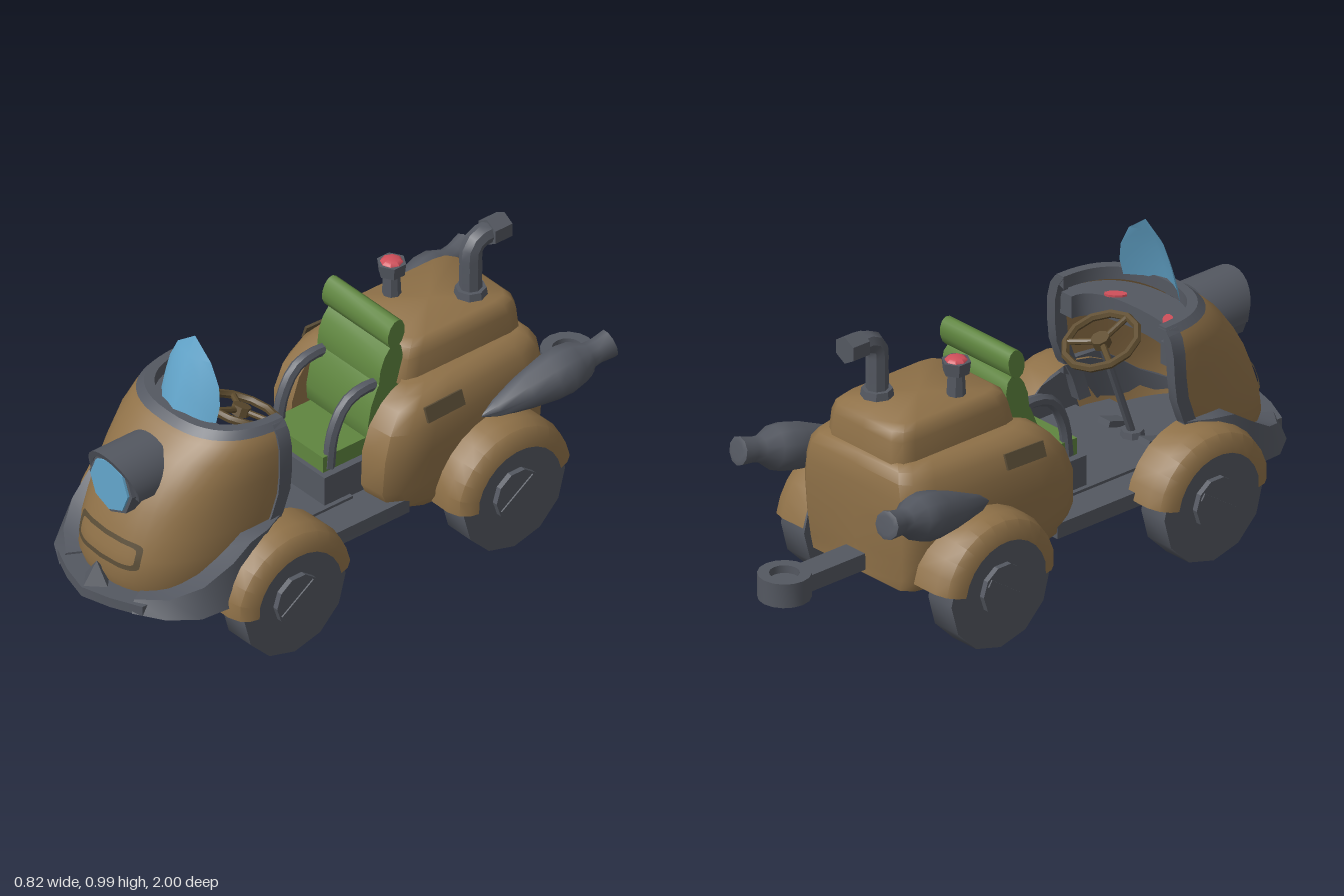
import * as THREE from 'three';
import { toCreasedNormals } from 'three/addons/utils/BufferGeometryUtils.js';

const paint = (name, color) => new THREE.MeshStandardMaterial({ name, color, side: THREE.DoubleSide });
const V = (x, y, z) => new THREE.Vector3(x, y, z);

export function createModel() {
  const brown = paint('brown paint', 0x8f7148), dark = paint('dark metal', 0x545861);
  const green = paint('green leather', 0x5f853f), blue = paint('blue glass', 0x63a6cc);
  const red = paint('red lamp', 0xcf4f5a), umber = paint('dark brown', 0x594c36);
  const wood = paint('steering brown', 0x5f4d2f);
  const root = new THREE.Group();

  const add = (name, geo, mat, x = 0, y = 0, z = 0, rx = 0, ry = 0, rz = 0, crease = 0.6) => {
    const m = new THREE.Mesh(toCreasedNormals(geo, crease), mat);
    m.name = name;
    m.position.set(x, y, z);
    m.rotation.set(rx, ry, rz);
    root.add(m);
    return m;
  };
  const box = (name, mat, w, h, d, x, y, z, rx = 0, ry = 0, rz = 0) =>
    add(name, new THREE.BoxGeometry(w, h, d), mat, x, y, z, rx, ry, rz);
  const cyl = (name, mat, r0, r1, h, n, x, y, z, rx = 0, rz = 0) =>
    add(name, new THREE.CylinderGeometry(r0, r1, h, n), mat, x, y, z, rx, 0, rz);
  const rod = (name, mat, a, b, r) => {
    const m = cyl(name, mat, r, r, a.distanceTo(b), 8, 0, 0, 0);
    m.position.copy(a).lerp(b, 0.5);
    m.quaternion.setFromUnitVectors(V(0, 1, 0), b.clone().sub(a).normalize());
  };
  // Skin through a row of cross-sections
  const loft = (loops, closed = true, caps = false) => {
    const n = loops[0].length, pts = loops.flat(), idx = [];
    for (let i = 0; i < loops.length - 1; i++)
      for (let j = 0; j < (closed ? n : n - 1); j++) {
        const a = i * n + j, b = i * n + (j + 1) % n;
        idx.push(a, b, a + n, b, b + n, a + n);
      }
    if (caps) {
      for (const [s, flip] of caps === 'top' ? [[loops.length - 1, 0]] : [[0, 1], [loops.length - 1, 0]]) {
        const mid = loops[s].reduce((t, p) => t.add(p), V(0, 0, 0)).divideScalar(n);
        const c = pts.push(mid) - 1;
        for (let j = 0; j < n; j++) {
          const a = s * n + j, b = s * n + (j + 1) % n;
          idx.push(...(flip ? [b, a, c] : [a, b, c]));
        }
      }
    }
    const g = new THREE.BufferGeometry().setFromPoints(pts);
    g.setIndex(idx);
    return g;
  };
  // Plan outline (x, z) thickened downward from y = top
  const plan = (name, mat, pts, top, depth) => add(name,
    new THREE.ExtrudeGeometry(new THREE.Shape(pts.map(p => new THREE.Vector2(p[0], p[1]))), { depth, bevelEnabled: false }),
    mat, 0, top, 0, Math.PI / 2);

  // Front cowl: U-shaped levels [y, half width, rear z, front z]
  const levels = [[0.23, 0.25, 0.52, 0.9], [0.3, 0.27, 0.51, 0.925], [0.38, 0.28, 0.49, 0.91], [0.45, 0.283, 0.455, 0.885],
    [0.52, 0.284, 0.43, 0.855], [0.59, 0.283, 0.422, 0.812], [0.67, 0.28, 0.42, 0.75], [0.72, 0.267, 0.42, 0.695], [0.75, 0.245, 0.42, 0.65]];
  const uCurve = (hw, zr, zf, n = 24) => Array.from({ length: n + 1 }, (_, i) => {
    const t = Math.PI * i / n, c = Math.cos(t);
    return [hw * Math.sign(c) * Math.abs(c) ** 0.8, zr + (zf - zr) * Math.abs(Math.sin(t)) ** 0.8];
  });
  add('frontCowl', loft(levels.map(([y, hw, zr, zf]) => uCurve(hw, zr, zf).map(([x, z]) => V(x, y, z))), false),
    brown, 0, 0, 0, 0, 0, 0, 0.9);
  const rimRing = [[0.264, 0.68, 0.735], [0.245, 0.655, 0.757], [0.215, 0.625, 0.757], [0.215, 0.625, 0.715]]
    .map(([hw, zf, y]) => uCurve(hw, 0.41, zf).map(([x, z]) => V(x, y, z)));
  add('cowlRim', loft(rimRing[0].map((_, i) => rimRing.map(r => r[i])), true, true), dark);
  plan('dashboard', dark, [...uCurve(0.255, 0.43, 0.655), ...uCurve(0.2, 0.43, 0.525).reverse()], 0.69, 0.075);
  plan('noseFloor', dark, uCurve(0.24, 0.5, 0.89), 0.245, 0.015);

  // Grille frame laid on the nose surface
  const noseZ = (x, y) => {
    const i = levels.findIndex(l => l[0] > y), a = levels[i - 1], b = levels[i];
    const [, hw, zr, zf] = a.map((v, k) => v + (b[k] - v) * (y - a[0]) / (b[0] - a[0]));
    const c = (Math.abs(x) / hw) ** 1.25;
    return zr + (zf - zr) * Math.sqrt(1 - c * c) ** 0.8;
  };
  const grilleLoop = (w, h) => Array.from({ length: 48 }, (_, i) => {
    const t = i * Math.PI / 24, c = Math.cos(t), s = Math.sin(t);
    const x = w * Math.sign(c) * Math.abs(c) ** 0.3, y = 0.386 + h * Math.sign(s) * Math.abs(s) ** 0.3;
    return V(x, y, noseZ(x, y) + 0.007);
  });
  add('grilleFrame', loft([grilleLoop(0.142, 0.046), grilleLoop(0.124, 0.031)]), umber);

  // Headlight under its hood
  cyl('headlightCase', dark, 0.1, 0.1, 0.14, 8, 0, 0.59, 0.812, Math.PI / 2);
  cyl('headlightLens', blue, 0.088, 0.088, 0.008, 8, 0, 0.59, 0.886, Math.PI / 2);
  const hood = new THREE.Shape();
  hood.absarc(0, 0, 0.114, -0.15, Math.PI + 0.15, false);
  hood.absarc(0, 0, 0.094, Math.PI + 0.15, -0.15, true);
  const hoodGeo = new THREE.ExtrudeGeometry(hood, { depth: 0.18, bevelEnabled: false, curveSegments: 8 });
  const hp = hoodGeo.attributes.position;
  for (let i = 0; i < hp.count; i++)
    if (hp.getZ(i) > 0.1) hp.setZ(i, 0.14 + 0.045 * Math.max(0, hp.getY(i)) / 0.114);
  add('headlightHood', hoodGeo, dark, 0, 0.592, 0.725);

  // Pointed curved windshield
  const glass = [[0.745, 0.128, 0.64], [0.8, 0.128, 0.625], [0.86, 0.115, 0.605], [0.93, 0.078, 0.577], [0.987, 0.001, 0.55]];
  add('windshield', loft(glass.map(([y, w, z]) => [-1, -0.6, 0, 0.6, 1].map(k => V(k * w, y, z - 4 * (k * w) ** 2))), false), blue);

  // Bumper, prow and underside
  plan('bumper', dark, [[-0.2, 0.925], [-0.1, 0.97], [0, 0.998], [0.1, 0.97], [0.2, 0.925], [0.2, 0.86], [0, 0.9], [-0.2, 0.86]], 0.263, 0.033);
  add('bumperProw', new THREE.ConeGeometry(0.055, 0.075, 4), dark, 0, 0.296, 0.938);
  plan('floor', dark, [[-0.28, -0.06], [0.28, -0.06], [0.28, 0.46], [0.24, 0.62], [-0.24, 0.62], [-0.28, 0.46]], 0.265, 0.05);
  box('floorMat', dark, 0.34, 0.012, 0.5, 0, 0.268, 0.32);
  box('towBar', dark, 0.085, 0.055, 0.62, 0, 0.242, -0.55);
  const ring = new THREE.Shape(), hole = new THREE.Path();
  ring.absarc(0, 0, 0.083, 0, Math.PI * 2);
  hole.absarc(0, 0, 0.047, 0, Math.PI * 2);
  ring.holes.push(hole);
  add('towRing', new THREE.ExtrudeGeometry(ring, { depth: 0.08, bevelEnabled: false, curveSegments: 8 }), dark, 0, 0.288, -0.917, Math.PI / 2);
  cyl('towRingPlate', dark, 0.05, 0.05, 0.015, 8, 0, 0.255, -0.917);

  // Rear body: levels [y, half width, front z, rear z] with a recess for the seat
  const rear = [[0.2, 0.27, -0.07, -0.625], [0.235, 0.285, 0.005, -0.625], [0.3, 0.293, 0.035, -0.63], [0.42, 0.3, 0.03, -0.635],
    [0.5, 0.292, 0.002, -0.635], [0.56, 0.272, -0.045, -0.63], [0.59, 0.248, -0.085, -0.615], [0.605, 0.215, -0.12, -0.595]];
  const mirrorLoop = (half, y) => [...half.map(([x, z]) => V(x, y, z)), ...half.slice(1, -1).reverse().map(([x, z]) => V(-x, y, z))];
  add('rearBody', loft(rear.map(([y, w, f, b]) => mirrorLoop([[0, b], [w * 0.72, b], [w * 0.85, b + 0.03], [w * 0.91, b + 0.1],
    [w, f - 0.16], [w * 0.97, f - 0.06], [w * 0.87, f - 0.01], [0.165, f], [0.162, Math.min(f - 0.01, -0.14)], [0, -0.14]], y)), true, 'top'),
    brown, 0, 0, 0, 0, 0, 0, 0.8);
  const hatch = [[0.59, 0.18, -0.115, -0.605], [0.67, 0.172, -0.135, -0.6], [0.7, 0.163, -0.15, -0.59], [0.718, 0.145, -0.175, -0.57]];
  add('engineHatch', loft(hatch.map(([y, w, f, b]) => mirrorLoop([[0, b], [w * 0.75, b], [w * 0.94, b + 0.02], [w, b + 0.06],
    [w, f - 0.06], [w * 0.94, f - 0.02], [w * 0.75, f], [0, f]], y)), true, 'top'), brown, 0, 0, 0, 0, 0, 0, 0.8);

  // Parts mirrored left and right
  for (const s of [1, -1]) {
    const side = s > 0 ? 'left' : 'right';
    add(side + 'CowlPost', loft(levels.map(([y, w, zr]) => [V(s * (w + 0.006), y, zr - 0.012), V(s * (w + 0.006), y, zr + 0.035),
      V(s * (w - 0.03), y, zr + 0.035), V(s * (w - 0.03), y, zr - 0.012)]).slice(1), true, true), dark);
    // Bumper wing sweeping up to the fender: [low x, low z, high x, high z, inner x, inner z, low y, high y]
    add(side + 'BumperWing', loft([[0.17, 0.942, 0.16, 0.925, 0.13, 0.87, 0.23, 0.27], [0.265, 0.885, 0.25, 0.86, 0.19, 0.82, 0.23, 0.285],
      [0.33, 0.8, 0.31, 0.775, 0.235, 0.74, 0.23, 0.325], [0.35, 0.7, 0.335, 0.68, 0.25, 0.66, 0.24, 0.385],
      [0.345, 0.62, 0.335, 0.61, 0.26, 0.6, 0.25, 0.432], [0.33, 0.54, 0.32, 0.53, 0.26, 0.53, 0.36, 0.437], [0.285, 0.45, 0.285, 0.45, 0.26, 0.45, 0.4, 0.44]]
      .map(([x, z, xh, zh, xi, zi, a, b]) => [V(s * x, a, z), V(s * xh, b, zh), V(s * xi, b, zi), V(s * xi, a, zi)]), true, true), dark);
    for (const [end, z] of [['Front', 0.48], ['Rear', -0.385]]) {
      const name = side + end;
      cyl(name + 'Wheel', dark, 0.2, 0.2, 0.105, 12, s * 0.333, 0.2, z, 0, Math.PI / 2);
      cyl(name + 'Hub', dark, 0.085, 0.085, 0.02, 10, s * 0.394, 0.2, z, 0, Math.PI / 2);
      box(name + 'HubBar', dark, 0.008, 0.025, 0.15, s * 0.405, 0.2, z, 0.6);
      cyl(name + 'AxleNut', dark, 0.075, 0.075, 0.038, 6, s * 0.264, 0.2, z, 0, Math.PI / 2);
      // Fender: profile [x, radius] swept over the wheel
      const prof = [[0.25, 0.235], [0.345, 0.236], [0.385, 0.222], [0.405, 0.195], [0.411, 0.165]];
      add(name + 'Fender', loft(Array.from({ length: 13 }, (_, i) => {
        const a = 0.02 + 2.95 * i / 12;
        return prof.map(([x, r]) => V(s * x, 0.2 + r * Math.sin(a), z + r * Math.cos(a) * (i === 0 ? 0.97 : 1)));
      }), false), brown);
    }
    box(side + 'SidePatch', umber, 0.009, 0.05, 0.15, s * 0.284, 0.546, -0.195, 0, s * 0.04, s * 0.36);
    // Exhaust can
    const can = new THREE.LatheGeometry([[0, 0], [0.03, 0.06], [0.058, 0.17], [0.075, 0.26], [0.078, 0.31], [0.07, 0.355], [0.043, 0.4], [0.04, 0.43],
      [0.046, 0.48], [0.03, 0.485], [0, 0.475]].map(p => new THREE.Vector2(...p)), 10);
    add(side + 'Exhaust', can, dark, s * 0.28, 0.44, -0.335, 0, 0, 0, 0.75)
      .quaternion.setFromUnitVectors(V(0, 1, 0), V(s * 0.115, 0.195, -0.97).normalize());
    // Armrest
    const arm = new THREE.CatmullRomCurve3([V(s * 0.12, 0.38, 0.125), V(s * 0.12, 0.49, 0.11), V(s * 0.12, 0.58, 0.06), V(s * 0.12, 0.605, 0), V(s * 0.12, 0.6, -0.1)]);
    add(side + 'Armrest', new THREE.TubeGeometry(arm, 10, 0.02, 7), dark);
    box(side + 'Pedal', dark, 0.05, 0.02, 0.08, s * 0.09, 0.285, 0.5, 0.3);
    add(side + 'DashLamp', new THREE.CylinderGeometry(0.02, 0.02, 0.008, 10), red, s * 0.118, 0.693, 0.535, 0, s * 0.75).scale.set(1.8, 1, 0.85);
  }
  for (const z of [0.48, -0.385]) rod('axle', dark, V(-0.3, 0.193, z), V(0.3, 0.193, z), 0.018);

  // Seat
  box('seatBase', dark, 0.31, 0.115, 0.3, 0, 0.317, 0.02);
  box('seatCushion', green, 0.26, 0.055, 0.27, 0, 0.402, 0.02);
  const pad = (name, w, h, d, y, z, rx) => {
    const m = cyl(name, green, 0.5, 0.5, w, 12, 0, y, z);
    m.geometry.rotateZ(Math.PI / 2);
    m.scale.set(1, h, d);
    m.rotation.x = rx;
  };
  pad('lowerBackrest', 0.29, 0.26, 0.1, 0.53, -0.07, -0.3);
  pad('upperBackrest', 0.29, 0.18, 0.085, 0.65, -0.1, -0.25);
  pad('headrest', 0.31, 0.1, 0.065, 0.778, -0.113, -0.2);

  // Steering
  const hub = V(0, 0.635, 0.37), tilt = -0.4;
  add('steeringWheel', new THREE.TorusGeometry(0.117, 0.013, 6, 12), wood, 0, hub.y, hub.z, Math.PI / 2 + tilt);
  for (let i = 0; i < 3; i++) {
    const a = Math.PI / 2 + i * Math.PI * 2 / 3;
    rod('steeringSpoke', wood, hub, V(0.115 * Math.cos(a), 0, 0.115 * Math.sin(a)).applyAxisAngle(V(1, 0, 0), tilt).add(hub), 0.01);
  }
  cyl('steeringHub', wood, 0.03, 0.03, 0.03, 8, 0, hub.y, hub.z, tilt);
  rod('steeringColumn', dark, hub, V(0, 0.27, 0.5), 0.013);
  cyl('columnFoot', dark, 0.035, 0.04, 0.03, 8, 0, 0.28, 0.497);

  // Chimney and beacon
  cyl('chimneyCollar', dark, 0.048, 0.052, 0.025, 8, 0.065, 0.73, -0.482);
  const flue = new THREE.CatmullRomCurve3([V(0.065, 0.71, -0.482), V(0.065, 0.82, -0.482), V(0.065, 0.885, -0.486), V(0.065, 0.91, -0.515), V(0.065, 0.912, -0.58)]);
  add('chimneyPipe', new THREE.TubeGeometry(flue, 10, 0.035, 8), dark);
  cyl('chimneyMouth', dark, 0.045, 0.045, 0.068, 6, 0.065, 0.912, -0.58, Math.PI / 2);
  cyl('beaconPost', dark, 0.025, 0.03, 0.1, 8, -0.09, 0.76, -0.3);
  cyl('beaconCup', dark, 0.047, 0.042, 0.042, 6, -0.09, 0.812, -0.3);
  add('beaconLamp', new THREE.SphereGeometry(0.037, 8, 4, 0, Math.PI * 2, 0, Math.PI / 2), red, -0.09, 0.83, -0.3).scale.y = 0.45;
  return root;
}
